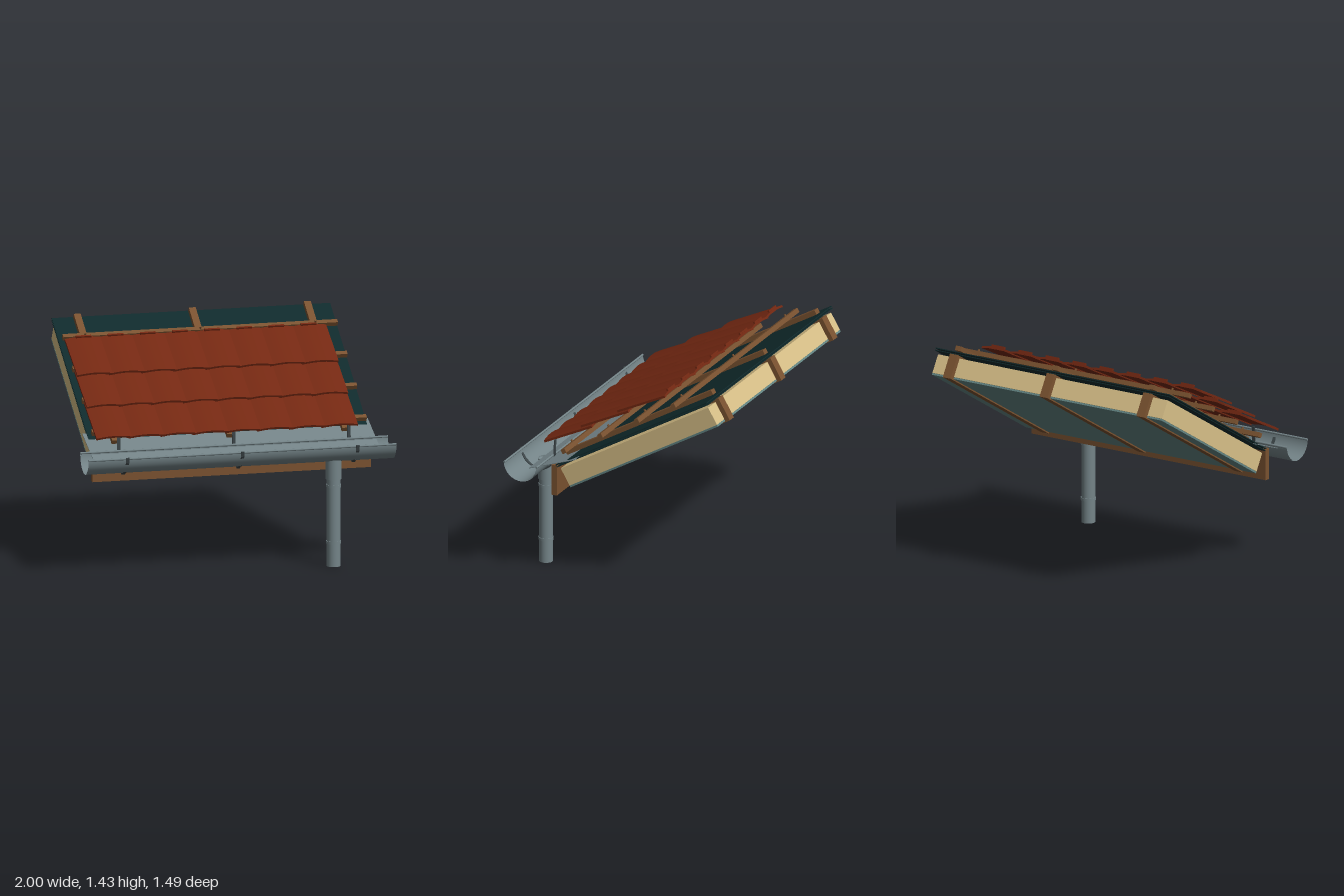
import * as THREE from 'three';

const mat = (name, color, side = THREE.FrontSide) => {
  const m = new THREE.MeshStandardMaterial({ color, side });
  m.name = name;
  return m;
};

export function createModel() {
  const wood = mat('timber brown', 0x7a5230);
  const insul = mat('insulation tan', 0xd8c088);
  const foil = mat('underlay dark green', 0x102a2c);
  const ceilingMat = mat('vapour barrier teal', 0x648684);
  const clay = mat('clay red', 0x742812);
  const zinc = mat('zinc grey', 0x748488, THREE.DoubleSide);
  const steel = mat('bracket steel', 0x3c4548);

  const model = new THREE.Group();
  model.name = 'roofEavesSection';
  // Pitched frame: local -z runs up the slope, local y is its normal
  const slope = new THREE.Group();
  slope.name = 'pitchedRoof';
  slope.rotation.x = Math.PI / 6;
  model.add(slope);

  const add = (parent, name, geo, material, x = 0, y = 0, z = 0) => {
    const m = new THREE.Mesh(geo, material);
    m.name = name;
    m.position.set(x, y, z);
    parent.add(m);
    return m;
  };
  // Box given by centre x, width, normal range and up-slope range
  const layer = (name, material, x, w, y0, y1, u0, u1) =>
    add(slope, name, new THREE.BoxGeometry(w, y1 - y0, u1 - u0), material, x, (y0 + y1) / 2, -(u0 + u1) / 2);

  // Roof build-up
  layer('insulation', insul, -0.003, 1.775, 0.735, 0.858, 0.045, 1.24);
  layer('ceilingMembrane', ceilingMat, -0.003, 1.775, 0.722, 0.734, 0.045, 1.24);
  layer('lowerUnderlay', foil, 0, 1.81, 0.876, 0.881, 0.035, 1.258);
  layer('upperUnderlay', foil, 0, 1.81, 0.889, 0.895, 0.035, 1.258);
  const bays = [-0.748, 0, 0.748];
  for (const x of bays) {
    layer('rafter', wood, x, 0.06, 0.714, 0.873, 0.03, 1.272);
    layer('counterBatten', wood, x, 0.045, 0.905, 0.936, 0.06, 1.243);
  }
  for (let i = 0; i < 4; i++) {
    const u = 0.126 + 0.296 * i;
    layer('tileBatten', wood, 0, 1.785, 0.938, 0.968, u - 0.015, u + 0.015);
    for (const x of bays)
      add(slope, 'battenScrew', new THREE.CylinderGeometry(0.007, 0.007, 0.014, 8), wood, x, 0.975, -u);
  }

  // Curved roof tiles: an arched strip extruded along the slope
  const tileW = 0.235, tileL = 0.37, pitch = 0.209, N = 12;
  const arch = t => 0.013 * Math.sin(Math.PI * t) + 0.003 * t;
  const profile = new THREE.Shape();
  for (let i = 0; i <= N; i++) {
    const t = i / N;
    profile[i ? 'lineTo' : 'moveTo']((t - 0.5) * tileW, arch(t) - 0.014);
  }
  for (let i = N; i >= 0; i--) profile.lineTo((i / N - 0.5) * tileW, arch(i / N));
  const tileGeo = new THREE.ExtrudeGeometry(profile, { depth: tileL, bevelEnabled: false });
  tileGeo.translate(0, 0, -tileL / 2);
  const lipGeo = new THREE.BoxGeometry(0.1, 0.028, 0.012);
  for (let row = 0; row < 3; row++) {
    const course = new THREE.Group();
    course.name = 'tileCourse';
    course.position.set(0, 1.033, -(0.151 + 0.296 * row));
    course.rotation.x = -0.076;
    slope.add(course);
    for (let i = 0; i < 8; i++) {
      const x = -0.905 + tileW / 2 + pitch * i;
      add(course, 'roofTile', tileGeo, clay, x, 0, 0);
      add(course, 'tileLip', lipGeo, clay, x, 0.011, -tileL / 2 + 0.007);
    }
  }

  // Fascia board
  add(model, 'fasciaBoard', new THREE.BoxGeometry(1.81, 0.204, 0.036), wood, 0, 0.686, 0.426);

  // Drip flashing from the underlay into the gutter
  const run = 0.325, drop = 0.115;
  const flashing = add(model, 'dripFlashing',
    new THREE.BoxGeometry(1.855, 0.004, Math.hypot(run, drop)), zinc, -0.002, 0.8025, 0.432);
  flashing.rotation.x = Math.atan2(drop, run);

  // Half-round gutter with rolled edges
  const gy = 0.795, gz = 0.618, gr = 0.116;
  for (const r of [gr, gr - 0.004]) {
    const trough = add(model, 'gutterTrough',
      new THREE.CylinderGeometry(r, r, 2, 32, 1, true, Math.PI, Math.PI), zinc, 0, gy, gz);
    // Half shell spans local -x, which turns to face down
    trough.rotation.z = Math.PI / 2;
  }
  for (const s of [-1, 1]) {
    const bead = add(model, 'gutterBead', new THREE.CylinderGeometry(0.007, 0.007, 2, 10), zinc, 0, gy - 0.004, gz + s * (gr - 0.003));
    bead.rotation.z = Math.PI / 2;
  }

  // Gutter brackets: flat straps following a side profile of [z, y] points
  const path = [[0.739, 0.797], [0.73, 0.765], [0.706, 0.726], [0.666, 0.692], [0.635, 0.682], [0.615, 0.667],
    [0.572, 0.68], [0.533, 0.705], [0.512, 0.745], [0.499, 0.79], [0.496, 0.89]];
  for (const x of bays) {
    const bracket = new THREE.Group();
    bracket.name = 'gutterBracket';
    model.add(bracket);
    for (let i = 0; i < path.length - 1; i++) {
      const [z0, y0] = path[i], [z1, y1] = path[i + 1];
      const seg = add(bracket, 'bracketStrap',
        new THREE.BoxGeometry(0.022, 0.007, Math.hypot(z1 - z0, y1 - y0) + 0.004), steel,
        x, (y0 + y1) / 2, (z0 + z1) / 2);
      seg.rotation.x = -Math.atan2(y1 - y0, z1 - z0);
    }
  }

  // Downpipe, outlet sleeve and pipe clamps
  const px = 0.618, pz = 0.623;
  const pipe = (name, r, y0, y1, open) =>
    add(model, name, new THREE.CylinderGeometry(r, r, y1 - y0, 32, 1, open), zinc, px, (y0 + y1) / 2, pz);
  pipe('downpipe', 0.044, 0, 0.6, false);
  pipe('outletSleeve', 0.051, 0.564, 0.7, true);
  pipe('outletLining', 0.046, 0.564, 0.7, true);
  const rim = add(model, 'outletRim', new THREE.RingGeometry(0.046, 0.051, 32), zinc, px, 0.7, pz);
  rim.rotation.x = -Math.PI / 2;
  const skirt = add(model, 'sleeveRim', new THREE.RingGeometry(0.044, 0.051, 32), zinc, px, 0.564, pz);
  skirt.rotation.x = Math.PI / 2;
  for (const y of [0.155, 0.52]) pipe('pipeClamp', 0.048, y - 0.009, y + 0.009, false);

  return model;
}
